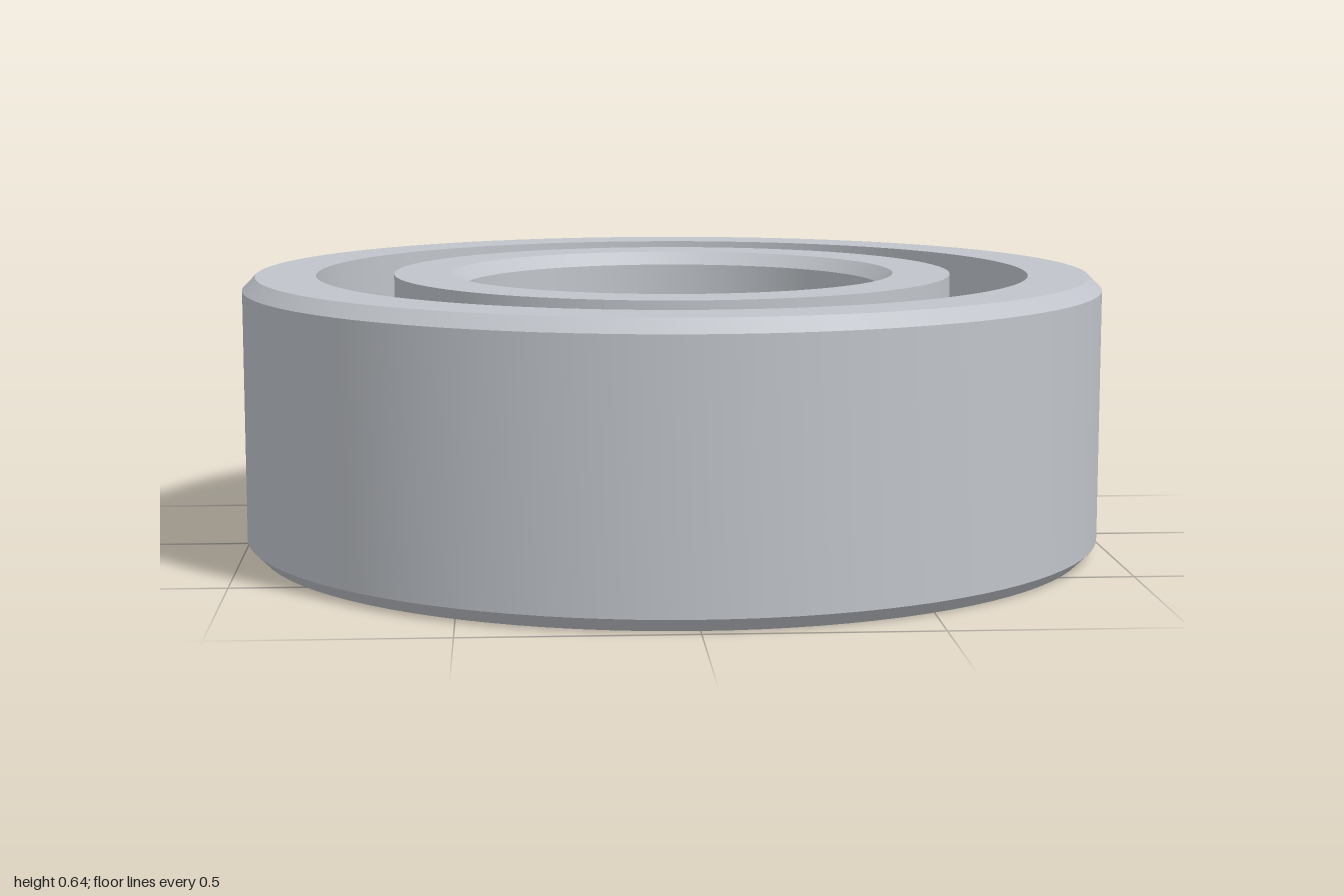
import * as THREE from 'three';
import { toCreasedNormals } from 'three/addons/utils/BufferGeometryUtils.js';

const HEIGHT = 0.64, MID = HEIGHT / 2, CHAMFER = 0.03;
const PITCH = 0.74, BALL = 0.14, GROOVE = 0.143, BALLS = 11;

// Points of the raceway groove cut into a wall at radius r, from bottom to top.
function groove(r, steps = 16) {
  const side = Math.sign(r - PITCH);
  const half = Math.acos(Math.abs(r - PITCH) / GROOVE);
  return Array.from({ length: steps + 1 }, (_, i) => {
    const a = -half + (2 * half * i) / steps;
    return [PITCH + side * GROOVE * Math.cos(a), MID + GROOVE * Math.sin(a)];
  });
}

// Revolve a counterclockwise closed profile into a crisp-edged ring.
function ring(name, profile, material) {
  const points = [...profile, profile[0]].map(([x, y]) => new THREE.Vector2(x, y));
  const geometry = toCreasedNormals(new THREE.LatheGeometry(points, 96), 0.4);
  const mesh = new THREE.Mesh(geometry, material);
  mesh.name = name;
  return mesh;
}

export function createModel() {
  const group = new THREE.Group();
  group.name = 'ballBearing';
  const steel = new THREE.MeshStandardMaterial({ color: 0xc0c4ca });
  steel.name = 'steel';

  // Outer ring: chamfered outside, grooved inside
  const R = 1, wallOut = 0.83;
  group.add(ring('outerRing', [
    [wallOut, 0], [R - CHAMFER, 0], [R, CHAMFER], [R, HEIGHT - CHAMFER],
    [R - CHAMFER, HEIGHT], [wallOut, HEIGHT], ...groove(wallOut).reverse(),
  ], steel));

  // Inner ring: chamfered bore, grooved outside
  const bore = 0.487, wallIn = 0.65;
  group.add(ring('innerRing', [
    [bore + CHAMFER, 0], [wallIn, 0], ...groove(wallIn), [wallIn, HEIGHT],
    [bore + CHAMFER, HEIGHT], [bore, HEIGHT - CHAMFER], [bore, CHAMFER],
  ], steel));

  // Balls spaced evenly in the raceway
  const ballGeometry = new THREE.SphereGeometry(BALL, 40, 24);
  const balls = new THREE.Group();
  balls.name = 'balls';
  for (let i = 0; i < BALLS; i++) {
    const a = (i / BALLS) * Math.PI * 2;
    const ball = new THREE.Mesh(ballGeometry, steel);
    ball.name = 'ball';
    ball.position.set(PITCH * Math.cos(a), MID, PITCH * Math.sin(a));
    balls.add(ball);
  }
  group.add(balls);
  return group;
}
